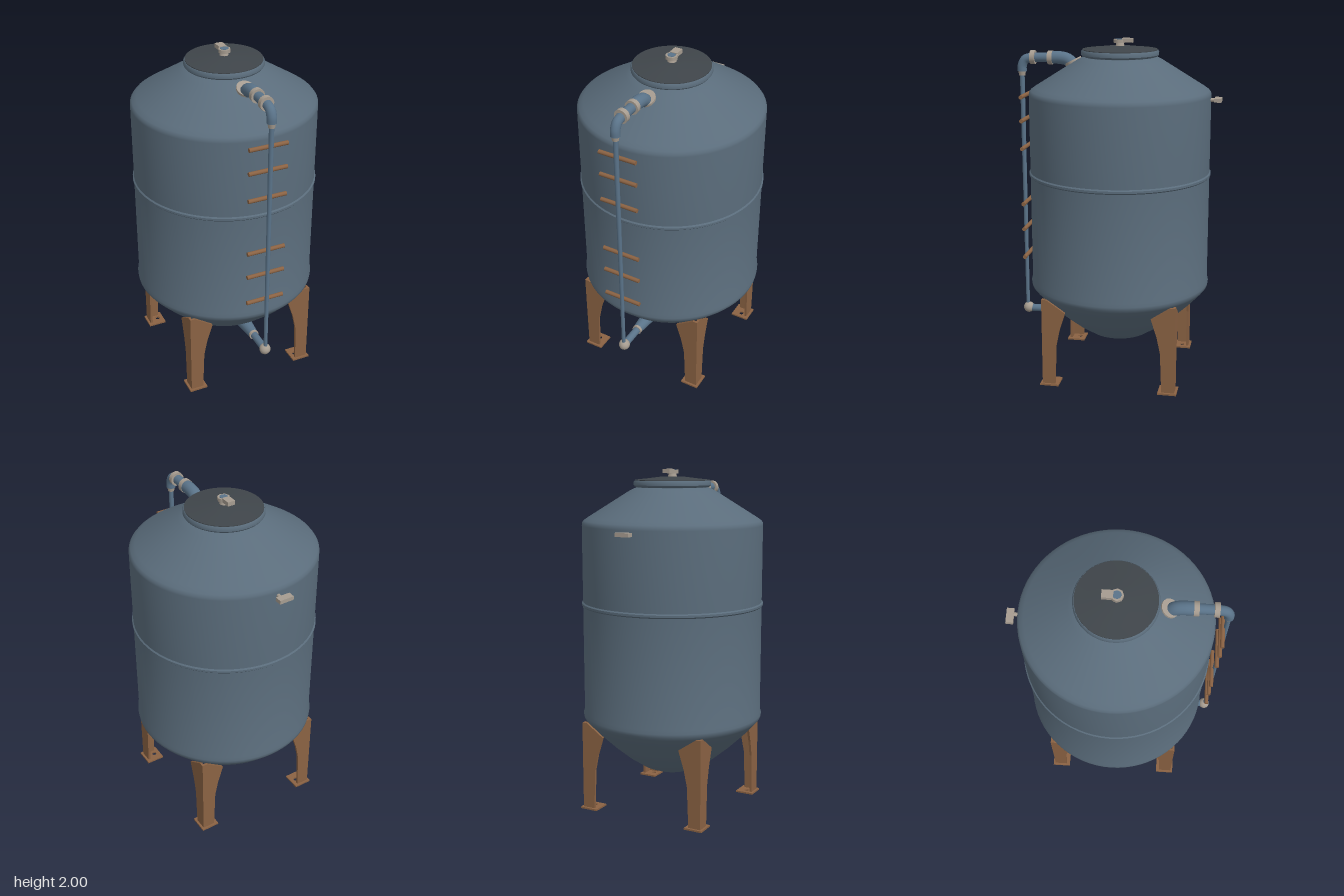
import * as THREE from 'three';
import { toCreasedNormals } from 'three/addons/utils/BufferGeometryUtils.js';

const mat = (name, color, side = THREE.FrontSide) => {
  const m = new THREE.MeshStandardMaterial({ color, side });
  m.name = name;
  return m;
};
const V = (x, y, z) => new THREE.Vector3(x, y, z);

export function createModel() {
  const model = new THREE.Group();
  model.name = 'storageTank';
  const steel = mat('blue grey steel', 0x5a6c7b, THREE.DoubleSide);
  const pipeBlue = mat('pipe blue', 0x5a7389);
  const rust = mat('rusty brown', 0x8a6243);
  const dark = mat('dark lid grey', 0x3f454a);
  const pale = mat('pale fitting', 0xa69c90);
  const CZ = -0.01; // tank axis

  const add = (parent, name, geo, material, x = 0, y = 0, z = 0) => {
    const m = new THREE.Mesh(geo, material);
    m.name = name;
    m.position.set(x, y, z);
    parent.add(m);
    return m;
  };
  const lathe = (pts, seg = 72) => toCreasedNormals(
    new THREE.LatheGeometry(pts.map(p => new THREE.Vector2(...p)), seg), 0.6);
  // Cylinder running between two points
  const rod = (name, a, b, r, material, r2 = r) => {
    const d = b.clone().sub(a);
    const m = add(model, name, new THREE.CylinderGeometry(r2, r, d.length(), 18), material);
    m.position.copy(a).add(b).multiplyScalar(0.5);
    m.quaternion.setFromUnitVectors(V(0, 1, 0), d.normalize());
    return m;
  };
  const tube = (name, pts, r, material) => add(model, name,
    new THREE.TubeGeometry(new THREE.CatmullRomCurve3(pts), 28, r, 16), material);

  // Vessel: dished bottom, straight wall with a weld bead, conical shoulder
  add(model, 'tankBody', lathe([
    [0, 0.2], [0.07, 0.2], [0.12, 0.21], [0.18, 0.235], [0.27, 0.295], [0.36, 0.37], [0.45, 0.455],
    [0.515, 0.525], [0.53, 0.545], [0.533, 0.565], [0.526, 0.585], [0.526, 1.21], [0.533, 1.217],
    [0.533, 1.229], [0.526, 1.236], [0.526, 1.68], [0.525, 1.695], [0.515, 1.708], [0.49, 1.725],
    [0.25, 1.875], [0.225, 1.888], [0.205, 1.895], [0.205, 1.92]]), steel, 0, 0, CZ);

  // Hatch rim and lid
  add(model, 'hatchRim', lathe([
    [0.2, 1.895], [0.218, 1.9], [0.224, 1.908], [0.224, 1.925], [0.218, 1.934], [0.2, 1.936]]), steel, 0, 0, CZ);
  add(model, 'hatchLid', lathe([
    [0.216, 1.93], [0.216, 1.938], [0.15, 1.945], [0.07, 1.955], [0, 1.958]]), dark, 0, 0, CZ);

  // Vent valve on the lid
  const vent = new THREE.Group();
  vent.name = 'ventValve';
  model.add(vent);
  add(vent, 'ventStem', new THREE.CylinderGeometry(0.02, 0.028, 0.03, 16), pale, 0, 1.965, -0.01);
  add(vent, 'ventCollar', new THREE.CylinderGeometry(0.035, 0.035, 0.02, 8), pale, 0, 1.984, -0.006);
  add(vent, 'ventOpening', new THREE.CylinderGeometry(0.024, 0.024, 0.006, 8), pipeBlue, 0, 1.993, -0.006);
  add(vent, 'ventHandle', new THREE.BoxGeometry(0.045, 0.024, 0.06), pale, 0, 1.988, -0.055);

  // Legs: two gusset plates meeting at the outer corner, on a drilled foot plate
  const flange = new THREE.Shape([[0, 0.005], [0, 0.53], [0.03, 0.53], [0.14, 0.455], [0.105, 0.345],
    [0.085, 0.25], [0.075, 0.005]].map(p => new THREE.Vector2(...p)));
  const flangeGeo = new THREE.ExtrudeGeometry(flange, { depth: 0.014, bevelEnabled: false });
  const footShape = new THREE.Shape([[-0.055, -0.055], [0.055, -0.055], [0.055, 0.055], [-0.055, 0.055]]
    .map(p => new THREE.Vector2(...p)));
  const hole = new THREE.Path();
  hole.absarc(-0.018, 0, 0.014, 0, Math.PI * 2, true);
  footShape.holes.push(hole);
  const footGeo = new THREE.ExtrudeGeometry(footShape, { depth: 0.01, bevelEnabled: false });
  for (let i = 0; i < 4; i++) {
    const leg = new THREE.Group();
    leg.name = 'leg' + (i + 1);
    leg.position.z = CZ;
    leg.rotation.y = i * Math.PI / 2;
    model.add(leg);
    add(leg, 'legSidePlate', flangeGeo, rust, 0.376, 0, 0.392).rotation.y = Math.PI / 2;
    add(leg, 'legFrontPlate', flangeGeo, rust, 0.39, 0, 0.392).rotation.y = Math.PI;
    add(leg, 'footPlate', footGeo, rust, 0.348, 0.01, 0.35).rotation.x = Math.PI / 2;
  }
  // Turn inward-facing plates so both run from each corner towards the tank
  model.children.filter(c => c.name.startsWith('leg')).forEach(leg => {
    const [side] = leg.children;
    side.rotation.y = Math.PI / 2;
    side.position.set(0.376, 0, 0.392);
  });

  // Standpipe on the front
  const PZ = 0.573;
  rod('standpipe', V(0, 0.33, PZ), V(0, 1.8, PZ), 0.011, pipeBlue, 0.014);
  rod('standpipeCollar', V(0, 1.775, PZ), V(0, 1.81, PZ), 0.018, pale, 0.024);
  tube('upperElbow', [V(0, 1.8, PZ), V(0, 1.835, 0.571), V(0, 1.868, 0.553), V(0, 1.88, 0.515),
    V(0, 1.882, 0.48)], 0.027, pipeBlue);
  rod('upperPipe', V(0, 1.882, 0.5), V(0, 1.882, 0.39), 0.028, pipeBlue);
  tube('upperInlet', [V(0, 1.882, 0.41), V(0, 1.882, 0.34), V(0, 1.87, 0.295), V(0, 1.835, 0.265),
    V(0, 1.78, 0.25)], 0.037, pipeBlue);
  for (const z of [0.505, 0.4])
    rod('upperCollar', V(0, 1.882, z - 0.014), V(0, 1.882, z + 0.014), 0.04, pale);
  rod('inletFlange', V(0, 1.87, 0.268), V(0, 1.835, 0.25), 0.052, pale);

  // Lower outlet
  add(model, 'lowerJoint', new THREE.SphereGeometry(0.033, 20, 14), pale, 0, 0.33, 0.567);
  rod('lowerPipe', V(0, 0.327, 0.56), V(0, 0.327, 0.22), 0.022, pipeBlue);
  rod('lowerCollar', V(0, 0.327, 0.425), V(0, 0.327, 0.4), 0.029, pale);
  rod('lowerSleeve', V(0, 0.327, 0.41), V(0, 0.327, 0.25), 0.029, pipeBlue, 0.045);

  // Cross bars on the standpipe
  for (const y of [1.66, 1.52, 1.355, 1.02, 0.865, 0.69])
    rod('crossBar', V(-0.118, y, 0.556), V(0.108, y, 0.556), 0.012, rust);

  // Small tap at the back
  rod('tapStem', V(0, 1.66, -0.5), V(0, 1.66, -0.575), 0.011, pale);
  add(model, 'tapHandle', new THREE.BoxGeometry(0.085, 0.022, 0.04), pale, -0.012, 1.66, -0.577);
  return model;
}
